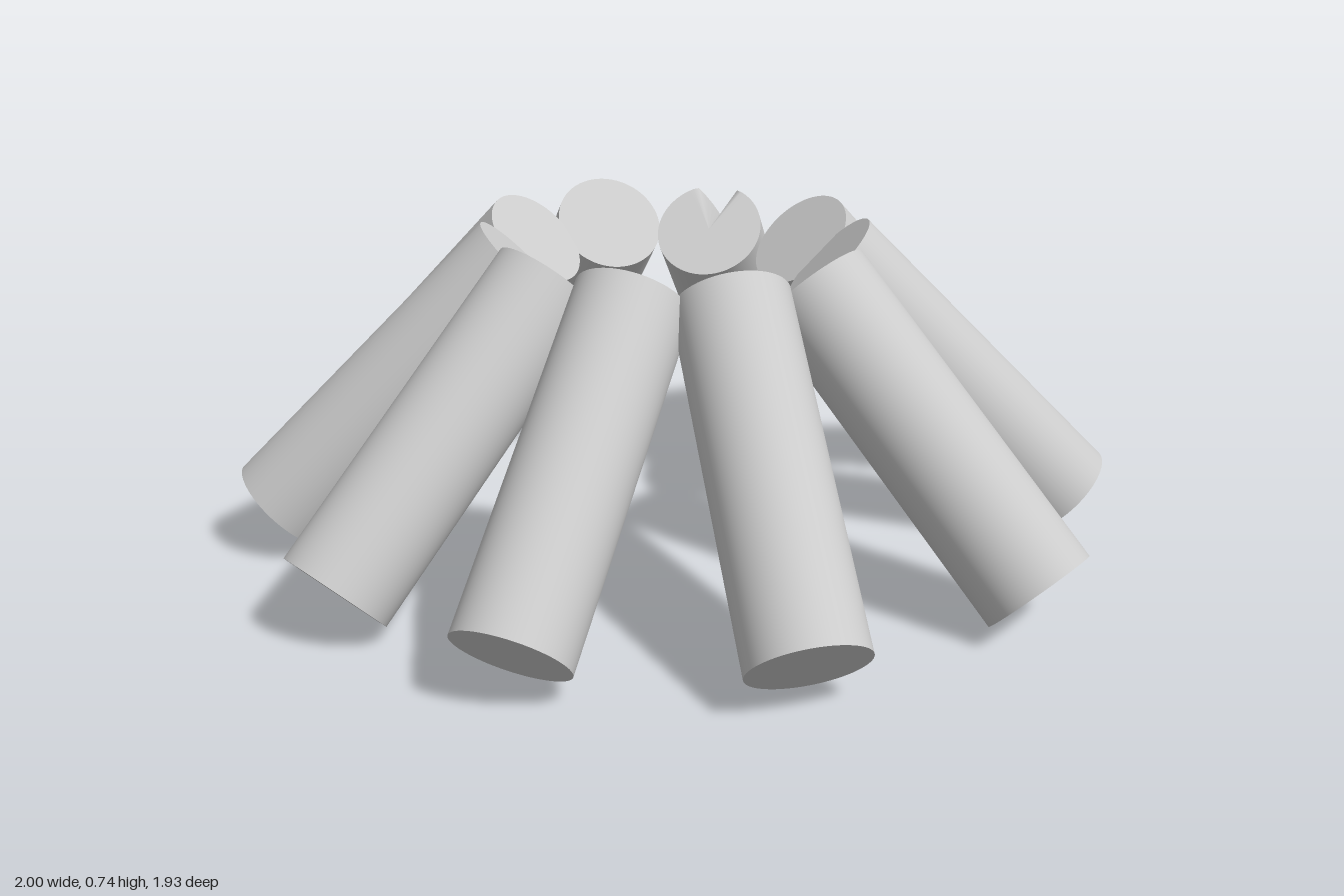
import * as THREE from 'three';

const RADIUS = 0.125;
const LENGTH = 0.782;
const REACH = LENGTH * Math.SQRT1_2; // horizontal run of a log tilted 45 degrees

// Upper end centre (x, z) and outward heading in degrees from +z toward +x
const LOGS = [
  [0.067, 0.32, 0],
  [0.255, 0.25, 38],
  [0.37, 0.07, 78],
  [0.325, -0.15, 114],
  [0.205, -0.3, 146.5],
  [-0.04, -0.335, 188, true],
  [-0.27, -0.265, 226],
  [-0.36, -0.06, 265],
  [-0.285, 0.15, 300],
  [-0.15, 0.277, 334],
];

// Plain log, or one with a shallow split along its upper side
function logGeometry(split) {
  const geo = new THREE.CylinderGeometry(RADIUS, RADIUS, LENGTH, 64, 1);
  if (!split) return geo;
  const p = geo.attributes.position;
  for (let i = 0; i < p.count; i++) {
    const x = p.getX(i), y = p.getY(i), z = p.getZ(i);
    if (Math.hypot(x, z) < RADIUS / 2) continue;
    const w = Math.max(0, 1 - Math.abs(Math.atan2(x, z)) / 0.4);
    const k = 1 - 0.25 * w;
    // the split bites deeper into the upper end
    p.setXYZ(i, x * k, y > 0 ? y - 0.11 * w : y, z * k);
  }
  geo.computeVertexNormals();
  return geo;
}

export function createModel() {
  const group = new THREE.Group();
  group.name = 'logRing';
  const material = new THREE.MeshStandardMaterial({ color: 0xcccccc, side: THREE.DoubleSide });
  const plain = logGeometry(false);

  // Logs leaning inward in a ring
  LOGS.forEach(([x, z, degrees, split], i) => {
    const a = THREE.MathUtils.degToRad(degrees);
    const log = new THREE.Mesh(split ? logGeometry(true) : plain, material);
    log.name = split ? 'splitLog' : `log${i + 1}`;
    log.rotation.set(-Math.PI / 4, a, 0, 'YXZ');
    log.position.set(x + Math.sin(a) * REACH / 2, split ? 0.365 : 0.375, z + Math.cos(a) * REACH / 2);
    group.add(log);
  });
  return group;
}
